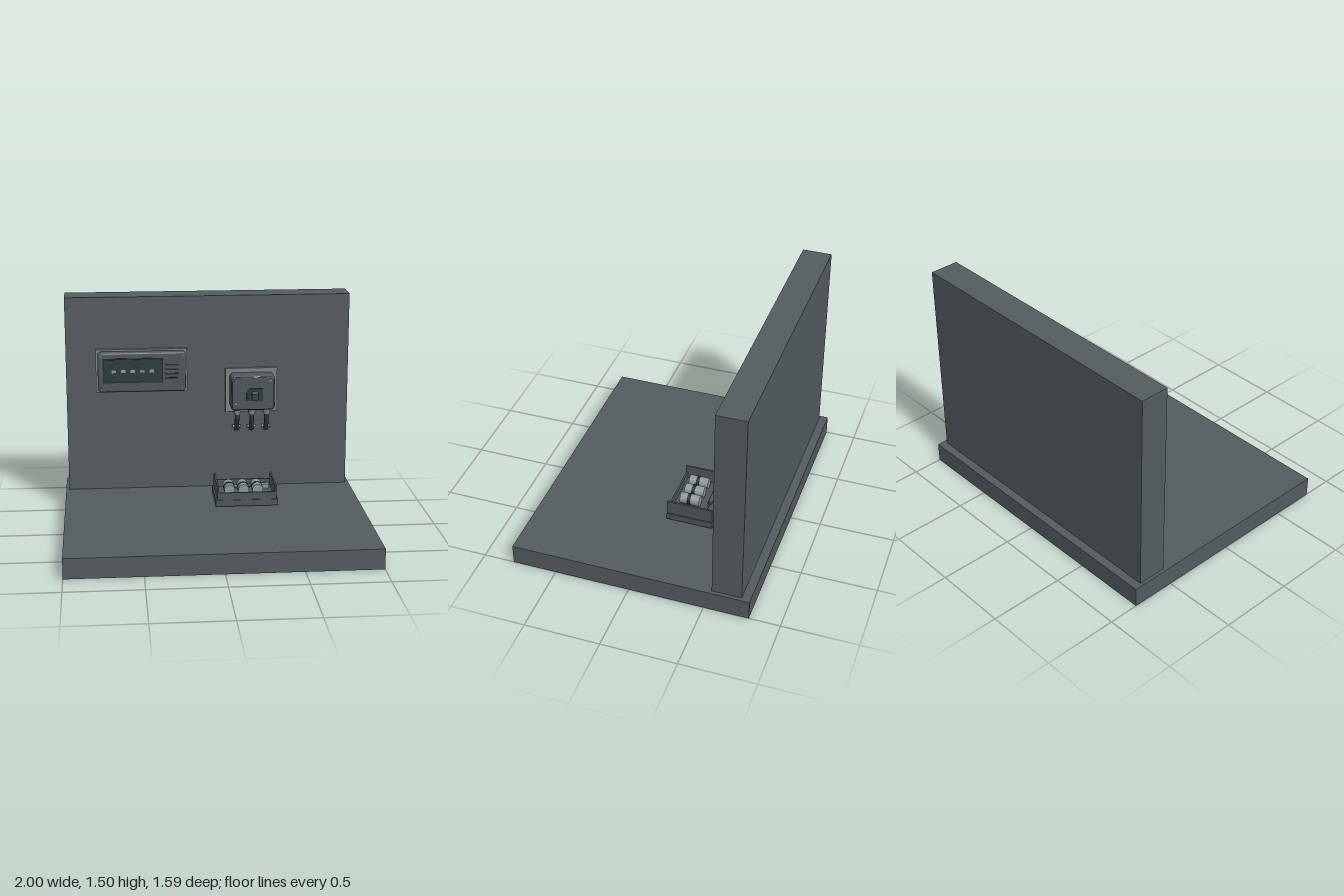
import * as THREE from 'three';

const mat = (name, color) => {
  const m = new THREE.MeshStandardMaterial({ color });
  m.name = name;
  return m;
};

export function createModel() {
  const concrete = mat('slate grey', 0x545c60);
  const housing = mat('housing grey', 0x50585b);
  const plateGrey = mat('plate grey', 0x7c8688);
  const steel = mat('pale steel', 0x8f9b9d);
  const dark = mat('dark green', 0x2a3c3b);
  const black = mat('near black', 0x232b2c);

  const model = new THREE.Group();
  model.name = 'wallDisplay';

  const group = (name) => {
    const g = new THREE.Group();
    g.name = name;
    model.add(g);
    return g;
  };
  const add = (parent, name, geo, material, x = 0, y = 0, z = 0) => {
    const m = new THREE.Mesh(geo, material);
    m.name = name;
    m.position.set(x, y, z);
    parent.add(m);
    return m;
  };
  // Box given by its limits on each axis
  const box = (parent, name, material, x0, x1, y0, y1, z0, z1) =>
    add(parent, name, new THREE.BoxGeometry(x1 - x0, y1 - y0, z1 - z0), material,
      (x0 + x1) / 2, (y0 + y1) / 2, (z0 + z1) / 2);
  // Rounded casing whose front edge is bevelled
  const casing = (parent, name, material, x0, x1, y0, y1, z0, z1, r, bevel) => {
    const w = (x1 - x0) / 2 - bevel, h = (y1 - y0) / 2 - bevel;
    const s = new THREE.Shape();
    s.moveTo(-w + r, -h);
    s.lineTo(w - r, -h);
    s.absarc(w - r, -h + r, r, -Math.PI / 2, 0);
    s.absarc(w - r, h - r, r, 0, Math.PI / 2);
    s.absarc(-w + r, h - r, r, Math.PI / 2, Math.PI);
    s.absarc(-w + r, -h + r, r, Math.PI, Math.PI * 1.5);
    const geo = new THREE.ExtrudeGeometry(s, {
      depth: z1 - z0 - 2 * bevel, bevelThickness: bevel, bevelSize: bevel,
      bevelSegments: 4, curveSegments: 5,
    });
    return add(parent, name, geo, material, (x0 + x1) / 2, (y0 + y1) / 2, z0 + bevel);
  };
  const rod = (parent, name, material, r, length, axis, x, y, z, sides = 20) => {
    const geo = new THREE.CylinderGeometry(r, r, length, sides);
    if (axis === 'x') geo.rotateZ(Math.PI / 2);
    if (axis === 'z') geo.rotateX(Math.PI / 2);
    return add(parent, name, geo, material, x, y, z);
  };
  const screws = (parent, xs, ys, z) => {
    for (const x of xs) for (const y of ys) {
      rod(parent, 'screw', steel, 0.008, 0.014, 'z', x, y, z, 12);
      box(parent, 'screwSlot', black, x - 0.006, x + 0.006, y - 0.001, y + 0.001, z + 0.006, z + 0.008);
    }
  };

  // Floor slab and wall
  box(model, 'floorSlab', concrete, -1, 1, 0, 0.135, -0.797, 0.795);
  box(model, 'wall', concrete, -0.978, 0.975, 0.135, 1.497, -0.74, -0.545);

  // Long display panel
  const panel = group('displayPanel');
  box(panel, 'panelBackPlate', plateGrey, -0.775, -0.147, 0.838, 1.138, -0.545, -0.52);
  casing(panel, 'panelCasing', housing, -0.762, -0.16, 0.85, 1.126, -0.54, -0.466, 0.012, 0.014);
  box(panel, 'screenFrame', black, -0.727, -0.317, 0.917, 1.087, -0.47, -0.46);
  box(panel, 'screen', dark, -0.719, -0.325, 0.925, 1.079, -0.462, -0.456);
  for (let i = 0; i < 5; i++) {
    const x = -0.652 + i * 0.0643;
    box(panel, 'indicator', steel, x - 0.016, x + 0.016, 0.989, 1.009, -0.458, -0.453);
  }
  for (let i = 0; i < 4; i++) {
    const y = 0.945 + i * 0.031;
    box(panel, 'ventSlot', black, -0.302, -0.21, y - 0.005, y + 0.005, -0.468, -0.462);
  }
  screws(panel, [-0.738, -0.184], [0.88, 1.106], -0.464);

  // Switch box
  const sw = group('switchBox');
  box(sw, 'switchBackPlate', plateGrey, 0.118, 0.478, 0.68, 0.99, -0.545, -0.525);
  casing(sw, 'switchCasing', housing, 0.147, 0.452, 0.714, 0.96, -0.54, -0.418, 0.012, 0.016);
  casing(sw, 'switchLid', housing, 0.155, 0.444, 0.722, 0.952, -0.43, -0.408, 0.015, 0.006);
  screws(sw, [0.178, 0.418], [0.768, 0.93], -0.406);
  box(sw, 'switchPlate', dark, 0.254, 0.366, 0.786, 0.872, -0.412, -0.4);
  box(sw, 'toggle', housing, 0.289, 0.331, 0.798, 0.848, -0.41, -0.375).rotation.x = 0.35;

  // Cable glands, drooping cables and their end pins
  for (const x of [0.195, 0.297, 0.4]) {
    rod(sw, 'gland', plateGrey, 0.027, 0.03, 'y', x, 0.703, -0.478, 6);
    rod(sw, 'glandNeck', plateGrey, 0.021, 0.02, 'y', x, 0.685, -0.478);
    const path = new THREE.CatmullRomCurve3([
      new THREE.Vector3(x, 0.7, -0.476), new THREE.Vector3(x, 0.645, -0.478),
      new THREE.Vector3(x, 0.6, -0.494), new THREE.Vector3(x, 0.555, -0.514),
    ]);
    add(sw, 'cable', new THREE.TubeGeometry(path, 16, 0.016, 12), dark);
    const cap = add(sw, 'cableEnd', new THREE.CircleGeometry(0.016, 12), dark, x, 0.555, -0.514);
    cap.lookAt(x, 0.51, -0.534);
    rod(sw, 'cablePin', steel, 0.011, 0.058, 'x', x, 0.577, -0.517, 12);
  }

  // Tray with low ends and tall sides
  const tray = group('tray');
  box(tray, 'trayBase', housing, 0.012, 0.433, 0.145, 0.19, -0.373, -0.06);
  for (const x of [0.022, 0.413]) box(tray, 'traySide', housing, x, x + 0.012, 0.19, 0.285, -0.371, -0.062);
  for (const z of [-0.369, -0.076]) box(tray, 'trayEnd', housing, 0.034, 0.413, 0.19, 0.24, z, z + 0.012);

  // Banded canisters lying in the tray
  for (const x of [0.112, 0.207, 0.302]) {
    rod(tray, 'canister', steel, 0.037, 0.132, 'z', x, 0.24, -0.184, 24);
    rod(tray, 'canisterBand', black, 0.039, 0.022, 'z', x, 0.24, -0.178, 24);
  }

  // Hand tool behind the canisters
  rod(tray, 'toolHandle', housing, 0.015, 0.17, 'x', 0.18, 0.208, -0.304, 12);
  rod(tray, 'toolShaft', plateGrey, 0.005, 0.08, 'x', 0.302, 0.208, -0.304, 10);
  box(tray, 'toolHead', steel, 0.341, 0.4, 0.193, 0.222, -0.326, -0.283);

  return model;
}
